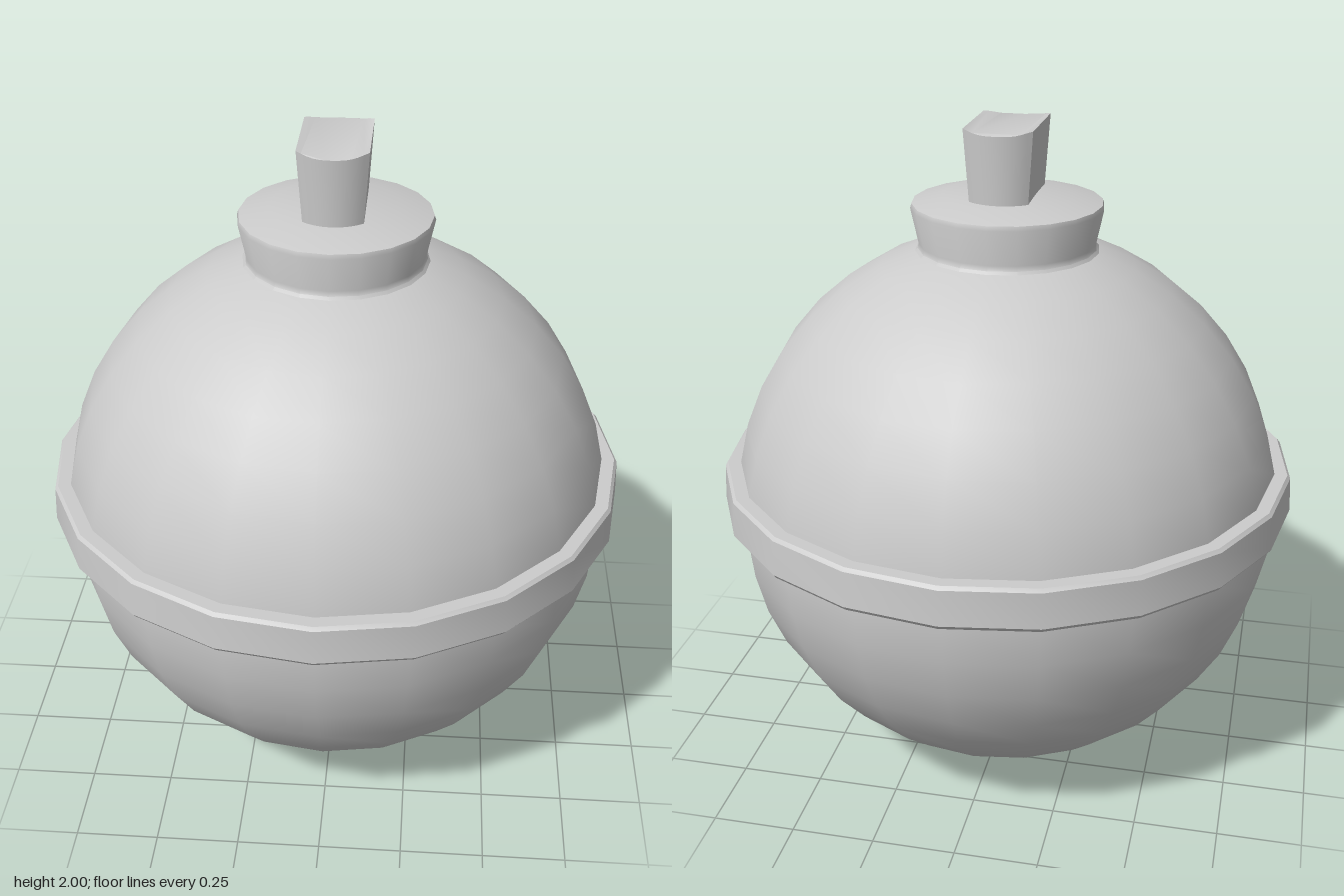
import * as THREE from 'three';
import { toCreasedNormals } from 'three/addons/utils/BufferGeometryUtils.js';

const SIDES = 20;
const material = new THREE.MeshStandardMaterial({ color: 0xcccccc });

function addPart(group, name, geometry) {
  const mesh = new THREE.Mesh(geometry, material);
  mesh.name = name;
  group.add(mesh);
  return mesh;
}

// Turned part from [radius, height] pairs, listed bottom to top
function turned(profile, crease = 0.6) {
  const points = profile.map(([r, y]) => new THREE.Vector2(r, y));
  return toCreasedNormals(new THREE.LatheGeometry(points, SIDES), crease);
}

// Circular plug with two flat sides, flaring upwards to a slightly domed top
function plugGeometry() {
  const radius = 0.165, halfWidth = 0.1, height = 0.22;
  const a = Math.acos(halfWidth / radius);
  const shape = new THREE.Shape();
  shape.absarc(0, 0, radius, a, Math.PI - a, false);
  shape.absarc(0, 0, radius, Math.PI + a, 2 * Math.PI - a, false);
  shape.closePath();
  const geometry = new THREE.ExtrudeGeometry(shape, { depth: height, bevelEnabled: false, curveSegments: 6 });
  geometry.rotateX(-Math.PI / 2);
  const p = geometry.attributes.position;
  for (let i = 0; i < p.count; i++) {
    const t = p.getY(i) / height;
    const drop = t * 0.012 * THREE.MathUtils.smoothstep(Math.abs(p.getZ(i)), 0.13, radius);
    p.setXYZ(i, p.getX(i) * (0.85 + 0.15 * t), p.getY(i) - drop, p.getZ(i) * (0.94 + 0.06 * t));
  }
  return toCreasedNormals(geometry, 0.6);
}

export function createModel() {
  const group = new THREE.Group();
  group.name = 'roundFlask';

  // Round body
  const body = addPart(group, 'body', new THREE.SphereGeometry(0.837, SIDES, SIDES));
  body.rotation.y = Math.PI / 2;
  body.position.y = 0.837;

  // Band just above the middle
  addPart(group, 'band', turned([
    [0.81, 0.842], [0.87, 0.842], [0.88, 0.855], [0.874, 0.96], [0.865, 0.97], [0.80, 0.97],
  ]));

  // Flared neck with a shallow sloping top
  addPart(group, 'neck', turned([
    [0.29, 1.61], [0.265, 1.635], [0.262, 1.65], [0.284, 1.755], [0.28, 1.768], [0.19, 1.79], [0, 1.8],
  ]));

  // Plug
  const plug = addPart(group, 'plug', plugGeometry());
  plug.position.y = 1.78;

  return group;
}
